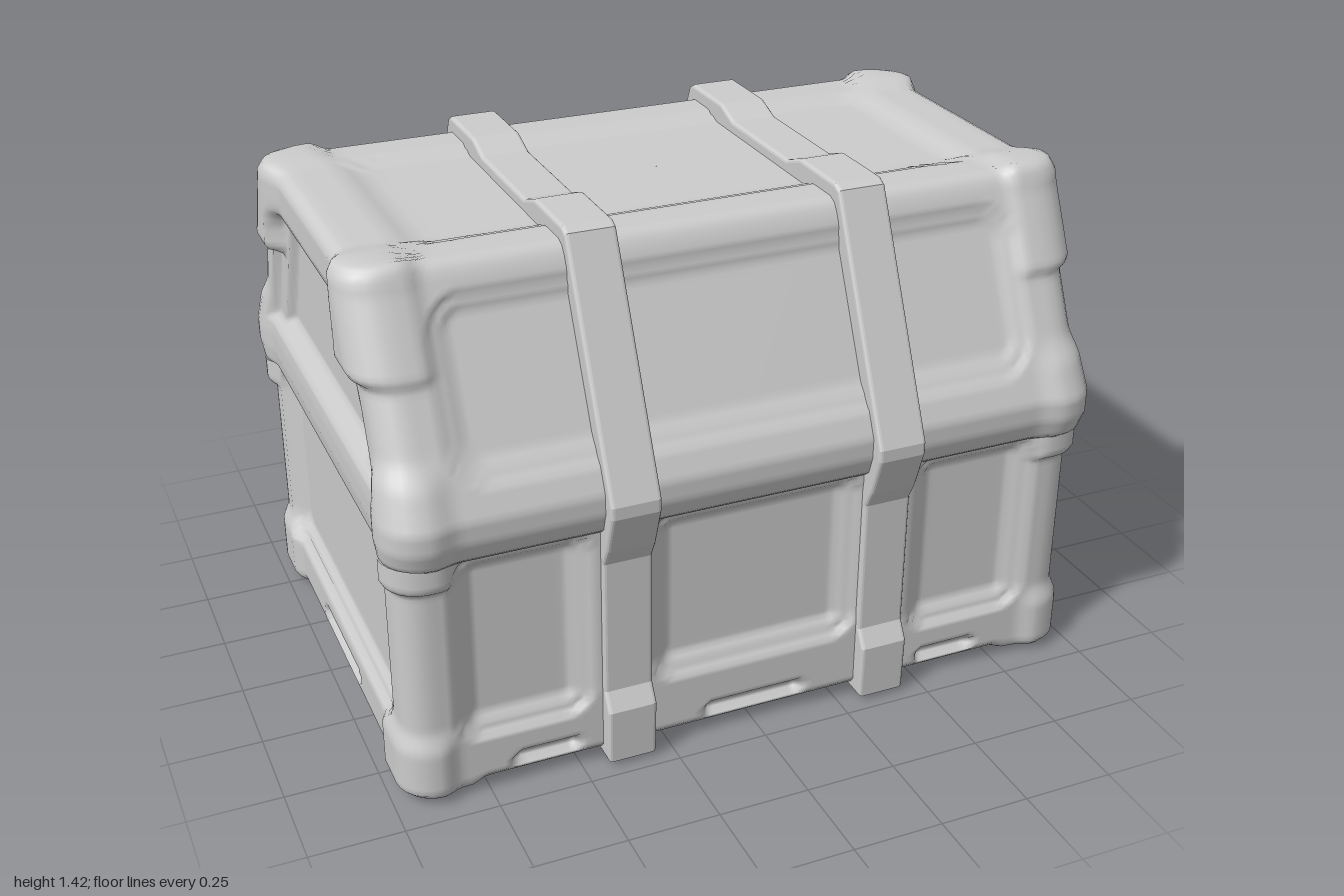
import * as THREE from 'three';

const ss = THREE.MathUtils.smoothstep;

// Depth inside a rounded rectangle (positive inside)
function inside(u, v, cu, cv, hu, hv, r) {
  const a = Math.abs(u - cu) - hu + r, b = Math.abs(v - cv) - hv + r;
  return r - Math.hypot(Math.max(a, 0), Math.max(b, 0)) - Math.min(Math.max(a, b), 0);
}

// Two-step sunken panel
const sunk = d => 0.02 * ss(d, 0, 0.016) + 0.02 * ss(d, 0.03, 0.06);

// Rounded-rectangle ring: straight part (kx, kz), normal (nx, nz) and whether it is an end wall
function ringTemplate() {
  const pts = [];
  for (let s = 0; s < 4; s++) {
    const a = s * Math.PI / 2, nx = Math.round(Math.cos(a)), nz = Math.round(Math.sin(a));
    const n = s % 2 ? 110 : 72, end = s % 2 === 0;
    for (let i = 0; i <= n; i++) {
      const u = -1 + 2 * i / n;
      pts.push({ kx: nx - nz * u, kz: nz + nx * u, nx, nz, end });
    }
    for (let j = 1; j < 6; j++) {
      const b = a + j * Math.PI / 12;
      pts.push({ kx: nx - nz, kz: nz + nx, nx: Math.cos(b), nz: Math.sin(b), end });
    }
  }
  return pts;
}

// Loft rings through rows of [y, halfX, halfZ, divisions], moving each point by a relief rule
function loft(rows, radius, relief) {
  const ring = ringTemplate(), n = ring.length, pos = [], index = [];
  const levels = [rows[0]];
  for (let k = 1; k < rows.length; k++) {
    for (let i = 1; i <= rows[k][3]; i++) {
      levels.push([0, 1, 2].map(c => THREE.MathUtils.lerp(rows[k - 1][c], rows[k][c], i / rows[k][3])));
    }
  }
  levels.forEach(([y, hx, hz], j) => {
    const r = Math.min(radius, hz * 0.18);
    ring.forEach((p, i) => {
      const x = p.kx * (hx - r) + p.nx * r, z = p.kz * (hz - r) + p.nz * r;
      const { out, up } = relief(x, y, z, p, hz);
      pos.push(x + p.nx * out, y + up, z + p.nz * out);
      if (j) {
        const a = (j - 1) * n + i, b = (j - 1) * n + (i + 1) % n;
        index.push(a, a + n, b, b, a + n, b + n);
      }
    });
  });
  const g = new THREE.BufferGeometry();
  g.setAttribute('position', new THREE.Float32BufferAttribute(pos, 3));
  g.setIndex(index);
  g.computeVertexNormals();
  return g;
}

// Lower box: sunken panels, foot slots, corner guards and feet
function boxRelief(x, y, z, p) {
  const ax = Math.abs(x), az = Math.abs(z);
  let out = 0;
  if (y > 0.03) {
    const panel = p.end ? inside(z, y, 0, 0.44, 0.54, 0.285, 0.09)
      : Math.max(inside(ax, y, 0, 0.455, 0.3, 0.255, 0.07), inside(ax, y, 0.645, 0.435, 0.185, 0.275, 0.07));
    const slot = p.end ? inside(z, y, 0, 0.078, 0.19, 0.026, 0.025)
      : Math.max(inside(ax, y, 0, 0.07, 0.15, 0.024, 0.022), inside(ax, y, 0.59, 0.07, 0.095, 0.024, 0.022));
    out -= sunk(panel) + 0.025 * ss(slot, 0, 0.014);
    out += 0.02 * ss(ax, 0.82, 0.88) * ss(az, 0.45, 0.5) * (1 - ss(y, 0.15, 0.22));
    out += 0.025 * ss(ax, 0.8, 0.86) * ss(az, 0.54, 0.6) * ss(y, 0.62, 0.645);
  }
  const foot = ss(ax, 0.75, 0.8) * ss(az, 0.42, 0.47) * (1 - ss(y, 0.02, 0.1));
  return { out, up: -0.02 * foot };
}

// Lid: sloped, end and top panels with raised corner guards
function lidRelief(x, y, z, p, hz) {
  const ax = Math.abs(x), az = Math.abs(z);
  const cap = ss(ax, 0.79, 0.84) * ss(az, 0.27 + 0.07 * (1 - ss(y, 1.2, 1.3)), 0.37) * ss(y, 1.12, 1.15);
  if (hz < 0.426) { // top face
    return { out: 0.02 * cap * ss(hz, 0.38, 0.425), up: 0.016 * cap - 0.5 * sunk(inside(x, z, 0, 0, 0.8, 0.33, 0.09)) };
  }
  let panel;
  if (p.end) {
    const outer = Math.min(y - 0.865, 1.265 - y, (0.55 - (y - 0.87) * 0.46 - az) * 0.9);
    const inner = Math.min(y - 0.885, 1.235 - y, (0.44 - (y - 0.9) * 0.48 - az) * 0.9);
    panel = 0.02 * ss(outer, 0, 0.016) + 0.022 * ss(inner, 0, 0.03);
  } else panel = 0.6 * sunk(inside(x, y, 0, 1.105, 0.81, 0.215, 0.1));
  const mid = ss(ax, 0.8, 0.88) * ss(az, 0.52, 0.6) * (1 - ss(y, 0.9, 0.98));
  const raised = cap * (0.032 * p.nx * p.nx + 0.016 * p.nz * p.nz);
  return { out: raised + 0.018 * mid - panel * (1 - cap), up: 0.016 * cap * ss(y, 1.33, 1.38) };
}

function roundedRect(w, h, r, Type = THREE.Shape) {
  const s = new Type(), x = w / 2 - r, y = h / 2 - r;
  s.absarc(x, y, r, 0, Math.PI / 2);
  s.absarc(-x, y, r, Math.PI / 2, Math.PI);
  s.absarc(-x, -y, r, Math.PI, 1.5 * Math.PI);
  s.absarc(x, -y, r, 1.5 * Math.PI, 2 * Math.PI);
  return s;
}

export function createModel() {
  const grey = new THREE.MeshStandardMaterial({ color: 0xcccccc });
  grey.name = 'grey';
  const chest = new THREE.Group();
  chest.name = 'chest';
  const add = (name, geometry, parent = chest) => {
    const m = new THREE.Mesh(geometry, grey);
    m.name = name;
    parent.add(m);
    return m;
  };

  add('lowerBox', loft([
    [0.02, 0.001, 0.001], [0.02, 0.6, 0.4, 1], [0.02, 0.91, 0.63, 10],
    [0.035, 0.947, 0.662, 2], [0.05, 0.96, 0.675, 2], [0.71, 0.96, 0.675, 54],
  ], 0.075, boxRelief));

  add('lid', loft([
    [0.7, 0.9, 0.6], [0.7, 0.95, 0.68, 2], [0.715, 0.965, 0.698, 2], [0.765, 0.972, 0.714, 4],
    [0.82, 0.972, 0.714, 4], [0.9, 0.965, 0.677, 6], [1.355, 0.965, 0.462, 34],
    [1.375, 0.952, 0.447, 2], [1.385, 0.93, 0.425, 2], [1.385, 0.001, 0.001, 30],
  ], 0.085, lidRelief));

  // Straps: the chest outline seen from the end, as a thin slice
  const half = [
    [0.705, 0.025], [0.71, 0.17], [0.68, 0.22], [0.68, 0.61], [0.705, 0.66], [0.742, 0.77], [0.742, 0.8],
    [0.46, 1.405], [0.44, 1.415], [0.25, 1.415], [0.17, 1.387],
  ];
  const outline = [...half, ...half.map(([z, y]) => [-z, y]).reverse()];
  const bevel = 0.01;
  const strapGeo = new THREE.ExtrudeGeometry(new THREE.Shape(outline.map(([z, y]) => new THREE.Vector2(z, y))), {
    depth: 0.135 - 2 * bevel, bevelThickness: bevel, bevelSize: bevel, bevelSegments: 3,
  });
  strapGeo.translate(0, 0, -0.0575).rotateY(-Math.PI / 2);
  for (const side of [-1, 1]) add(side > 0 ? 'leftStrap' : 'rightStrap', strapGeo).position.x = side * 0.37;

  // Latch hanging from the lid at the back
  const latch = new THREE.Group();
  latch.name = 'latch';
  const plate = roundedRect(0.13, 0.16, 0.035);
  plate.holes.push(roundedRect(0.075, 0.085, 0.03, THREE.Path));
  add('latchRing', new THREE.ExtrudeGeometry(plate, {
    depth: 0.018, bevelThickness: 0.01, bevelSize: 0.01, bevelSegments: 3, curveSegments: 6,
  }), latch).position.z = -0.019;
  add('latchBack', new THREE.ExtrudeGeometry(roundedRect(0.11, 0.13, 0.03), { depth: 0.015, bevelEnabled: false }), latch)
    .position.z = -0.018;
  const pin = add('latchPin', new THREE.CylinderGeometry(0.016, 0.016, 0.025, 16), latch);
  pin.rotation.x = Math.PI / 2;
  latch.position.set(-0.008, 0.645, -0.728);
  latch.rotation.set(0.06, Math.PI, 0);
  chest.add(latch);
  return chest;
}
